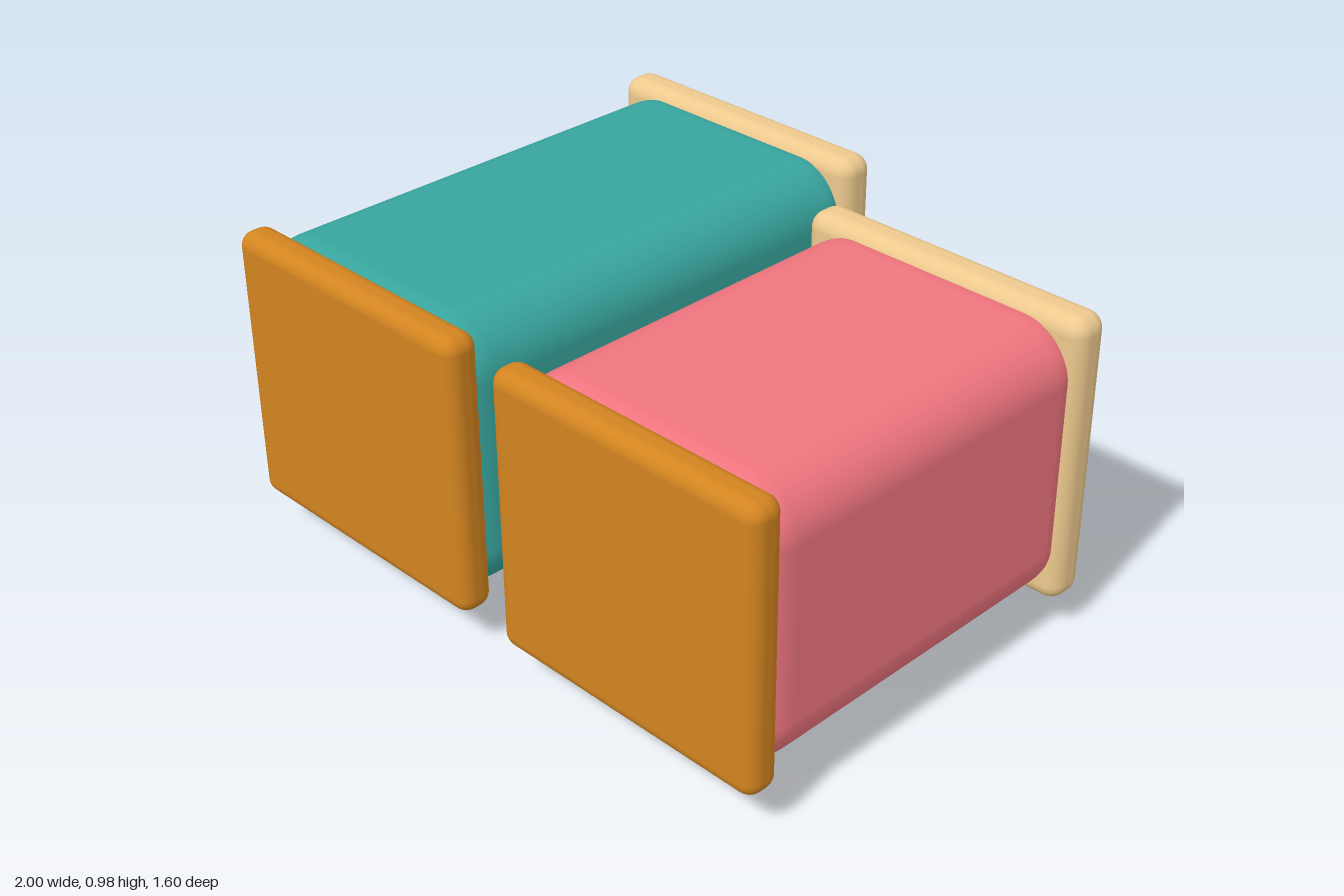
import * as THREE from 'three';
import { RoundedBoxGeometry } from 'three/addons/geometries/RoundedBoxGeometry.js';

const material = (color) => new THREE.MeshStandardMaterial({ color });
const orange = material(0xd28420);
const tan = material(0xedc98e);
const cream = material(0xf0eadf);

// Rounded block centred at x = 0, given its y and z extents
function block(name, mat, width, [y0, y1], [z0, z1], radius, segments = 6) {
  const mesh = new THREE.Mesh(
    new RoundedBoxGeometry(width, y1 - y0, z1 - z0, segments, radius), mat);
  mesh.position.set(0, (y0 + y1) / 2, (z0 + z1) / 2);
  mesh.name = name;
  return mesh;
}

function ball(name, x, y, z, rx, ry, rz) {
  const mesh = new THREE.Mesh(new THREE.SphereGeometry(1, 28, 18), orange);
  mesh.scale.set(rx, ry, rz);
  mesh.position.set(x, y, z);
  mesh.name = name;
  return mesh;
}

// Raised paw: one broad pad and four toes in an arc behind it
function createPaw() {
  const paw = new THREE.Group();
  paw.name = 'paw';
  paw.add(ball('pad', 0, 0.08, 0, 0.105, 0.08, 0.078));
  for (const side of [-1, 1]) {
    paw.add(ball('outerToe', side * 0.12, 0.073, -0.095, 0.043, 0.043, 0.043));
    paw.add(ball('innerToe', side * 0.047, 0.073, -0.167, 0.043, 0.043, 0.043));
  }
  return paw;
}

function createUnit(name, x, back, color) {
  const unit = new THREE.Group();
  unit.name = name;
  unit.position.x = x;
  const front = 0.8;
  const middle = (front + back) / 2;
  const stretch = (front - back) / 1.6;

  // Body and its two end panels
  unit.add(block('body', material(color), 0.895, [0.13, 0.955], [back + 0.004, front - 0.003], 0.156, 10));
  unit.add(block('frontPanel', orange, 0.912, [0.123, 0.968], [front - 0.11, front], 0.045));
  unit.add(block('backPanel', tan, 0.943, [0.11, 0.982], [back, back + 0.125], 0.05));

  // Underside plate with the paw and two thin bars
  const plateZ = middle - 0.01;
  unit.add(block('basePlate', cream, 0.61, [0.09, 0.127], [plateZ - 0.352, plateZ + 0.352], 0.015, 4));
  const paw = createPaw();
  paw.position.z = middle - 0.04 * stretch;
  unit.add(paw);
  for (const offset of [0.339, 0.292]) {
    const z = middle + offset * stretch;
    unit.add(block('bar', orange, 0.32, [0.069, 0.082], [z - 0.016, z + 0.016], 0.006, 3));
  }
  return unit;
}

export function createModel() {
  const model = new THREE.Group();
  model.name = 'boxPair';
  model.add(createUnit('longBox', -0.528, -0.8, 0x38a59e));
  model.add(createUnit('shortBox', 0.528, -0.5, 0xf0757f));
  return model;
}
